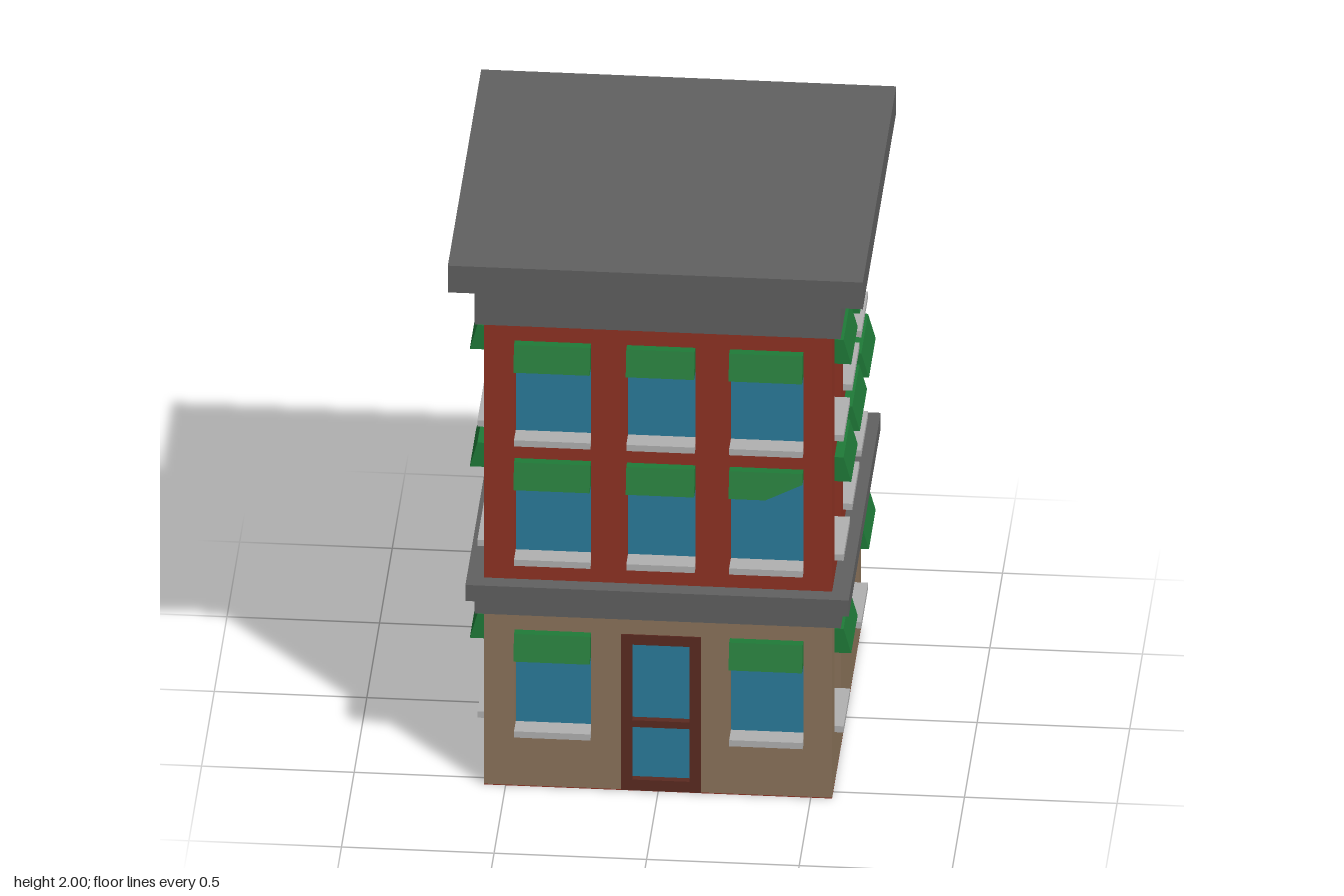
import * as THREE from 'three';

const mat = (color) => new THREE.MeshStandardMaterial({ color, flatShading: true, roughness: 0.9 });
const M = {
  brick: mat(0x8e3223), plaster: mat(0x8b735a), stone: mat(0x606060), awning: mat(0x1f7a38),
  glass: mat(0x2a7b9b), sill: mat(0xb0b0b0), door: mat(0x5a2a20),
};
const WALL = 0.05, W = 0.57, D = 0.5725, ZC = -0.0275;

function add(parent, name, geometry, material) {
  const mesh = new THREE.Mesh(geometry, material);
  mesh.name = name;
  parent.add(mesh);
  return mesh;
}

// box given by its minimum and maximum corners
function box(parent, name, material, [x0, y0, z0], [x1, y1, z1]) {
  const m = add(parent, name, new THREE.BoxGeometry(x1 - x0, y1 - y0, z1 - z0), material);
  m.position.set((x0 + x1) / 2, (y0 + y1) / 2, (z0 + z1) / 2);
}

// wall storey with rectangular openings, and a notch for the door
function wall(parent, name, material, half, y0, y1, holes, door) {
  const pts = [[-half, y0]];
  if (door) pts.push([door[0], y0], [door[0], door[2]], [door[1], door[2]], [door[1], y0]);
  pts.push([half, y0], [half, y1], [-half, y1]);
  const shape = new THREE.Shape(pts.map((p) => new THREE.Vector2(...p)));
  for (const [a, b, lo, hi] of holes) {
    shape.holes.push(new THREE.Path([[a, lo], [a, hi], [b, hi], [b, lo]].map((p) => new THREE.Vector2(...p))));
  }
  const g = new THREE.ExtrudeGeometry(shape, { depth: WALL, bevelEnabled: false });
  g.translate(0, 0, -WALL);
  add(parent, name, g, material);
}

// wedge awning; tear = +1 / -1 lifts the lower corner at that end
function awning(parent, a, b, top, tear) {
  const w = b - a, h = 0.09;
  const profile = new THREE.Shape([[-0.005, -h], [0.055, -h], [0.03, 0], [-0.005, 0]].map((p) => new THREE.Vector2(...p)));
  const g = new THREE.ExtrudeGeometry(profile, { depth: w, steps: 2, bevelEnabled: false });
  g.rotateY(-Math.PI / 2);
  g.translate(w / 2, 0, 0);
  const p = g.attributes.position;
  for (let i = 0; i < p.count; i++) {
    if (tear && p.getX(i) * tear > w / 2 - 0.001 && p.getY(i) < -h + 0.001) {
      p.setY(i, -0.035);
      if (p.getZ(i) > 0) p.setZ(i, 0.04);
    }
  }
  g.computeVertexNormals();
  add(parent, 'awning', g, M.awning).position.set((a + b) / 2, top, 0);
}

// recessed pane, sill and awning
function windowUnit(parent, [a, b, lo, hi], tear) {
  const unit = new THREE.Group();
  unit.name = 'window';
  parent.add(unit);
  box(unit, 'glass', M.glass, [a - 0.005, lo - 0.005, -0.06], [b + 0.005, hi + 0.005, -0.04]);
  box(unit, 'sill', M.sill, [a, lo, -0.045], [b, lo + 0.023, 0.03]);
  awning(unit, a, b, hi + 0.005, tear);
}

function facade(root, name, half, spans, position, angle, { door, tornAt, tear } = {}) {
  const side = new THREE.Group();
  side.name = name;
  side.position.set(...position);
  side.rotation.y = angle;
  root.add(side);
  const row = (cols, lo, hi) => cols.map(([a, b]) => [a, b, lo, hi]);
  const ground = row([spans[0], spans[2]], 0.197, 0.58);
  const middle = row(spans, 0.84, 1.222);
  const upper = row(spans, 1.287, 1.662);
  wall(side, 'groundFloorWall', M.plaster, half, 0.003, 0.66, ground, door);
  wall(side, 'upperWall', M.brick, half, 0.77, 1.75, [...middle, ...upper]);
  [...ground, ...upper].forEach((w) => windowUnit(side, w, 0));
  middle.forEach((w, i) => windowUnit(side, w, i === tornAt ? tear : 0));
  return side;
}

export function createModel() {
  const root = new THREE.Group();
  root.name = 'cornerBuilding';

  const xs = [[-0.47, -0.22], [-0.102, 0.122], [0.235, 0.476]];
  const zs = [[-0.48, -0.226], [-0.14, 0.142], [0.217, 0.482]];
  const flip = (s) => s.map(([a, b]) => [-b, -a]).reverse();
  const door = [-0.122, 0.14, 0.585];

  // four facades
  const front = facade(root, 'frontFacade', W, xs, [0, 0, ZC + D], 0, { door, tornAt: 2, tear: 1 });
  const east = facade(root, 'leftFacade', D, zs, [W, 0, ZC], Math.PI / 2);
  facade(root, 'backFacade', W, flip(xs), [0, 0, ZC - D], Math.PI, { tornAt: 0, tear: -1 });
  facade(root, 'rightFacade', D, flip(zs), [-W, 0, ZC], -Math.PI / 2);

  // door: frame bars around two panes
  const frame = (a, b, lo, hi) => box(front, 'doorFrame', M.door, [a, lo, -0.05], [b, hi, 0.004]);
  frame(-0.122, -0.085, 0.003, 0.585);
  frame(0.103, 0.14, 0.003, 0.585);
  for (const [lo, hi] of [[0.003, 0.043], [0.24, 0.265], [0.548, 0.585]]) frame(-0.085, 0.103, lo, hi);
  box(front, 'doorGlass', M.glass, [-0.1, 0.02, -0.045], [0.12, 0.57, -0.02]);

  // loose splinter standing in one window
  const splinter = new THREE.BufferGeometry().setFromPoints([
    new THREE.Vector3(0.292, 0.868, 0.02), new THREE.Vector3(0.41, 1.14, 0), new THREE.Vector3(0.393, 1.14, -0.02),
  ]);
  splinter.computeVertexNormals();
  const splinterMat = M.sill.clone();
  splinterMat.side = THREE.DoubleSide;
  add(east, 'splinter', splinter, splinterMat);

  // base, stone belt and cornice
  box(root, 'base', M.brick, [-W, 0, ZC - D], [W, 0.003, ZC + D]);
  box(root, 'beltLower', M.stone, [-0.6, 0.65, -0.627], [0.6, 0.715, 0.565]);
  box(root, 'beltUpper', M.stone, [-0.627, 0.715, -0.657], [0.629, 0.775, 0.6]);
  box(root, 'corniceLower', M.stone, [-0.6, 1.738, -0.627], [0.6, 1.9, 0.575]);
  box(root, 'roofSlab', M.stone, [-0.68, 1.9, -0.657], [0.68, 2, 0.657]);
  return root;
}
